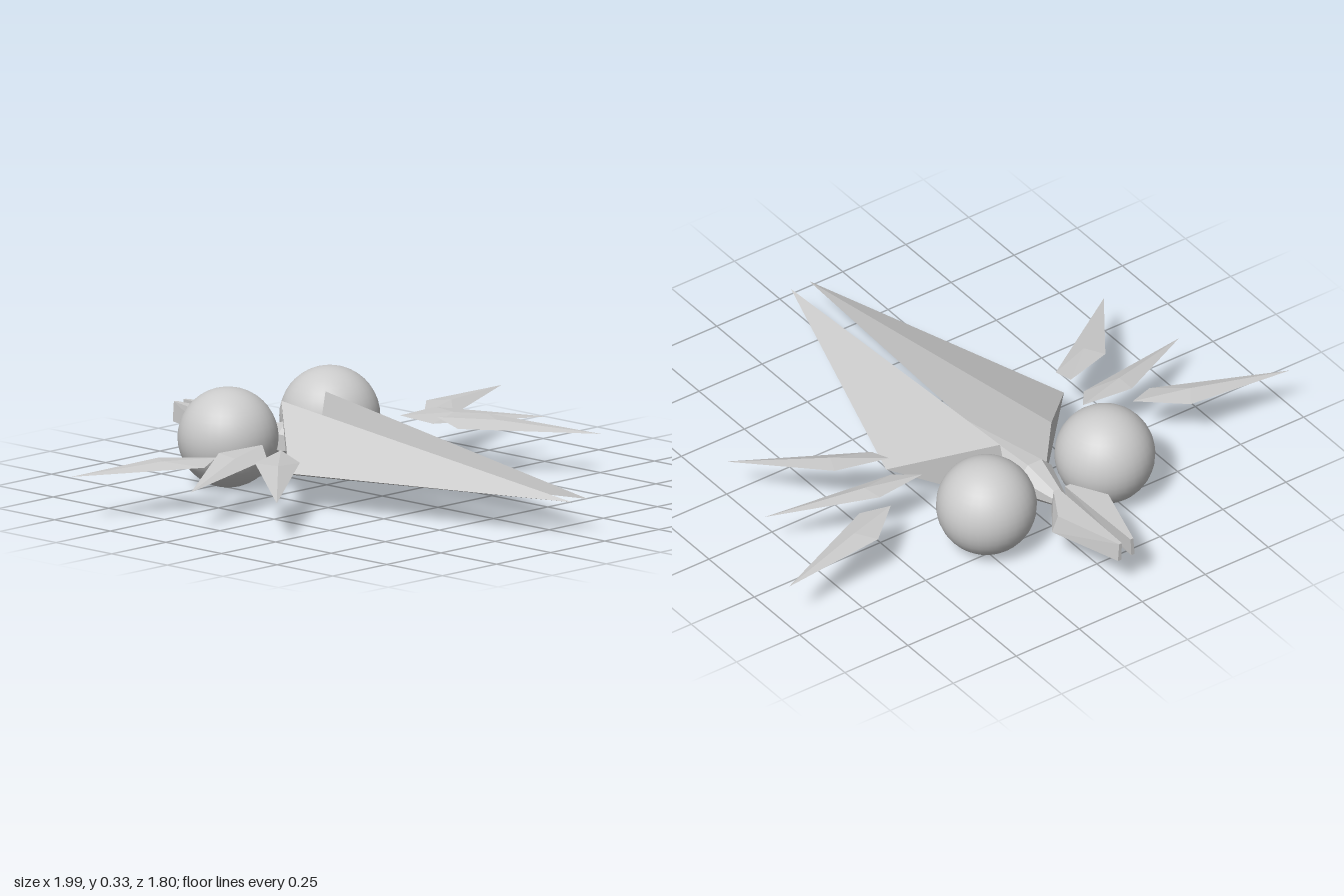
import * as THREE from 'three';
import { ConvexGeometry } from 'three/addons/geometries/ConvexGeometry.js';

const grey = new THREE.MeshStandardMaterial({ color: 0xcccccc });
const facetGrey = new THREE.MeshStandardMaterial({ color: 0xcccccc, flatShading: true });

// Faceted solid around a few corners, mirrored in x when side is -1
function solid(name, corners, side) {
  const points = corners.map(([x, y, z]) => new THREE.Vector3(x * side, y, z));
  const mesh = new THREE.Mesh(new ConvexGeometry(points), facetGrey);
  mesh.name = name;
  return mesh;
}

// Thin blade: four rim corners with a shallow peak above and below the middle
function blade(rim) {
  const mid = [0, 1, 2].map((i) => rim.reduce((sum, p) => sum + p[i], 0) / rim.length);
  const peak = (dy) => [mid[0], mid[1] + dy, mid[2]];
  return [...rim, peak(0.012), peak(-0.01)];
}

// Hull half: long tip, outer corner, upper and lower rear corners
const hull = [[0.036, 0.12, 0.895], [0.353, 0.12, -0.07], [0.102, 0.28, -0.35], [0.062, 0.03, -0.36]];

// Tail fin: thick slab whose lower outline is slightly wider
const fin = [
  [0.017, 0.185, -0.905], [0.028, 0.185, -0.905], [0.1, 0.185, -0.667], [0.033, 0.185, -0.55], [0.012, 0.185, -0.55],
  [0.02, 0.12, -0.905], [0.033, 0.12, -0.905], [0.115, 0.12, -0.655], [0.036, 0.12, -0.543], [0.02, 0.12, -0.543],
];

// Wing blades, rear to front: root, trailing corner, tip, leading corner
const blades = {
  rearBlade: [[0.48, 0.16, -0.28], [0.62, 0.163, -0.405], [0.995, 0.152, -0.433], [0.575, 0.147, -0.24]],
  middleBlade: [[0.318, 0.185, -0.23], [0.5, 0.183, -0.248], [0.822, 0.13, -0.06], [0.383, 0.16, -0.145]],
  frontBlade: [[0.36, 0.192, -0.105], [0.537, 0.185, -0.05], [0.75, 0.13, 0.255], [0.365, 0.165, -0.015]],
};

export function createModel() {
  const model = new THREE.Group();
  model.name = 'spacecraft';
  const body = new THREE.Group();
  body.name = 'body';
  body.position.x = -0.005;
  model.add(body);

  for (const [label, side] of [['left', 1], ['right', -1]]) {
    body.add(solid(label + 'Hull', hull, side));
    body.add(solid(label + 'TailFin', fin, side));

    // Engine globe
    const globe = new THREE.Mesh(new THREE.SphereGeometry(0.163, 32, 20), grey);
    globe.name = label + 'Globe';
    globe.position.set(0.235 * side, 0.165, -0.46);
    body.add(globe);

    const wing = new THREE.Group();
    wing.name = label + 'Wing';
    for (const [name, rim] of Object.entries(blades)) wing.add(solid(name, blade(rim), side));
    model.add(wing);
  }

  // Central spindle: eight-sided, blunt at the rear and pointed at the front
  const profile = [[0, -0.56], [0.018, -0.56], [0.071, -0.4], [0, 0]].map(([r, z]) => new THREE.Vector2(r, z));
  const spindle = new THREE.Mesh(new THREE.LatheGeometry(profile, 8, Math.PI / 8), facetGrey);
  spindle.name = 'spindle';
  spindle.rotation.x = Math.PI / 2;
  spindle.position.y = 0.13;
  body.add(spindle);

  return model;
}
